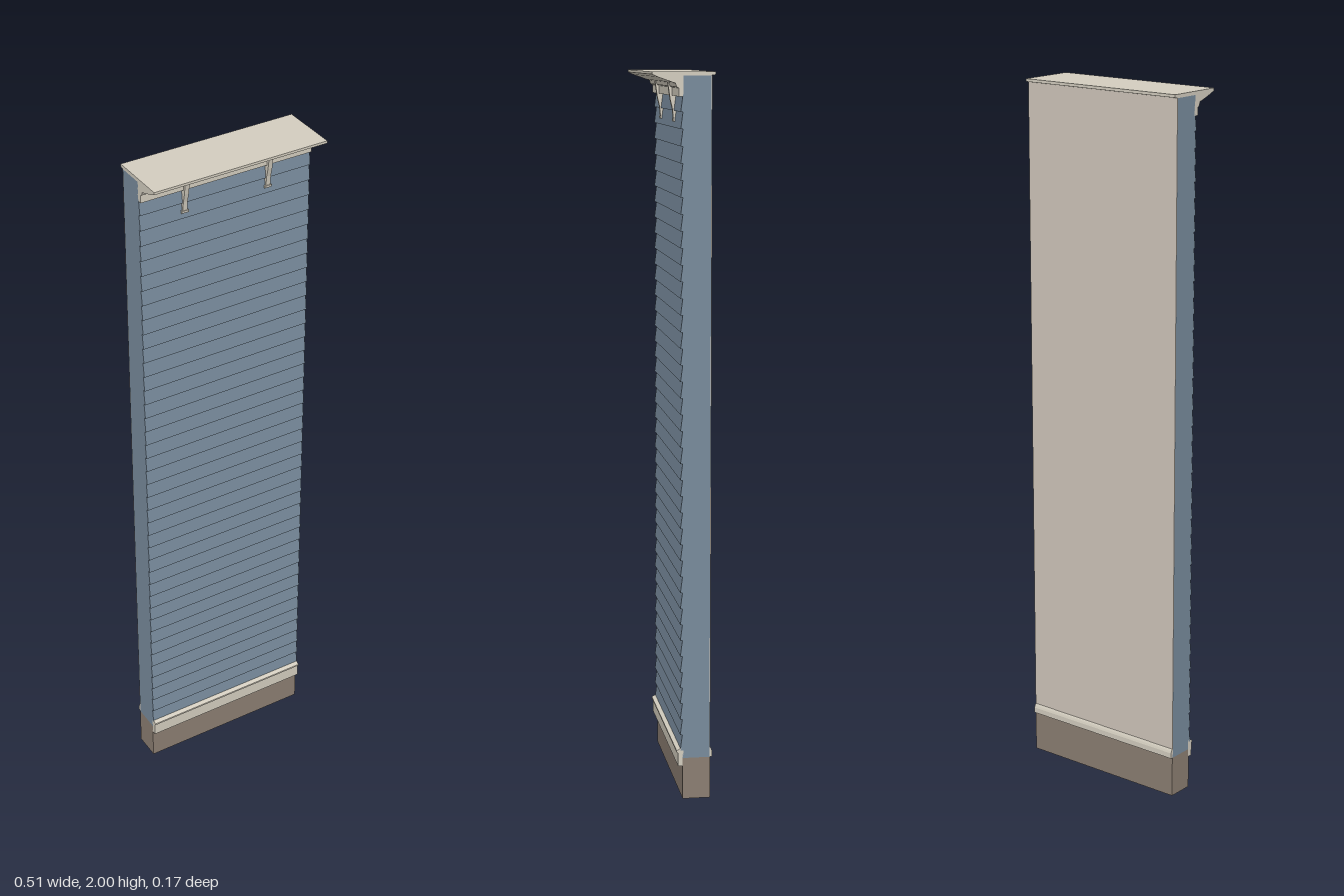
import * as THREE from 'three';

export function createModel() {
  const group = new THREE.Group();
  const W = 0.512;
  const mat = (name, color) => {
    const m = new THREE.MeshStandardMaterial({ color });
    m.name = name;
    return m;
  };
  const siding = mat('blue siding', 0x788b9c);
  const trim = mat('cream trim', 0xd3cdbf);
  const plaster = mat('interior plaster', 0xcfc6ba);
  const stone = mat('foundation brown', 0x8b7e72);

  // Extrude a [z, y] profile along x, centred on the given x
  function strip(name, points, material, width = W, x = 0) {
    const shape = new THREE.Shape(points.map(([z, y]) => new THREE.Vector2(-z, y)));
    const geo = new THREE.ExtrudeGeometry(shape, { depth: width, bevelEnabled: false });
    geo.rotateY(Math.PI / 2);
    geo.translate(x - width / 2, 0, 0);
    const mesh = new THREE.Mesh(geo, material);
    mesh.name = name;
    group.add(mesh);
  }
  function block(name, y0, y1, z0, z1, material) {
    strip(name, [[z0, y0], [z1, y0], [z1, y1], [z0, y1]], material);
  }

  // Foundation, wall core and interior lining
  block('foundation', 0, 0.118, -0.075, 0.002, stone);
  block('wallCore', 0.118, 1.99, -0.073, 0.002, siding);
  block('interiorWall', 0.118, 1.99, -0.075, -0.073, plaster);

  // Overlapping clapboards, thicker at the lower edge
  const laps = [[0, 0.14]];
  const count = 40, y0 = 0.14, pitch = (1.94 - y0) / count;
  for (let i = 0; i < count; i++) {
    laps.push([0.009, y0 + i * pitch], [0.003, y0 + (i + 1) * pitch]);
  }
  laps.push([0, 1.94]);
  strip('clapboards', laps, siding);

  // Water table with a sloping cap
  strip('waterTable', [[0, 0.095], [0.015, 0.095], [0.015, 0.133],
    [0.019, 0.135], [0.019, 0.14], [0.006, 0.147], [0, 0.147]], trim);

  // Interior baseboard with a rounded top
  strip('baseboard', [[-0.074, 0.118], [-0.081, 0.118], [-0.081, 0.134],
    [-0.079, 0.14], [-0.077, 0.144], [-0.074, 0.146]], trim);

  // Frieze and small bed moulding
  strip('frieze', [[0, 1.935], [0.014, 1.935], [0.014, 1.957],
    [0.02, 1.96], [0.024, 1.972], [0.024, 1.99], [0, 1.99]], trim);

  // Projecting crown with a coved underside
  strip('crown', [[-0.085, 1.992], [-0.074, 1.99], [0, 1.99], [0.015, 1.968],
    [0.03, 1.972], [0.05, 1.979], [0.07, 1.986], [0.085, 1.993],
    [0.085, 2], [-0.085, 2]], trim);

  // Tapering brackets with little feet
  for (const x of [-0.125, 0.125]) {
    strip('bracket', [[0, 1.87], [0.01, 1.87], [0.013, 1.9], [0.019, 1.925],
      [0.022, 1.945], [0.026, 1.972], [0, 1.972]], trim, 0.013, x);
    strip('bracketFoot', [[0, 1.866], [0.011, 1.866], [0.012, 1.873], [0, 1.873]], trim, 0.021, x);
  }

  return group;
}
